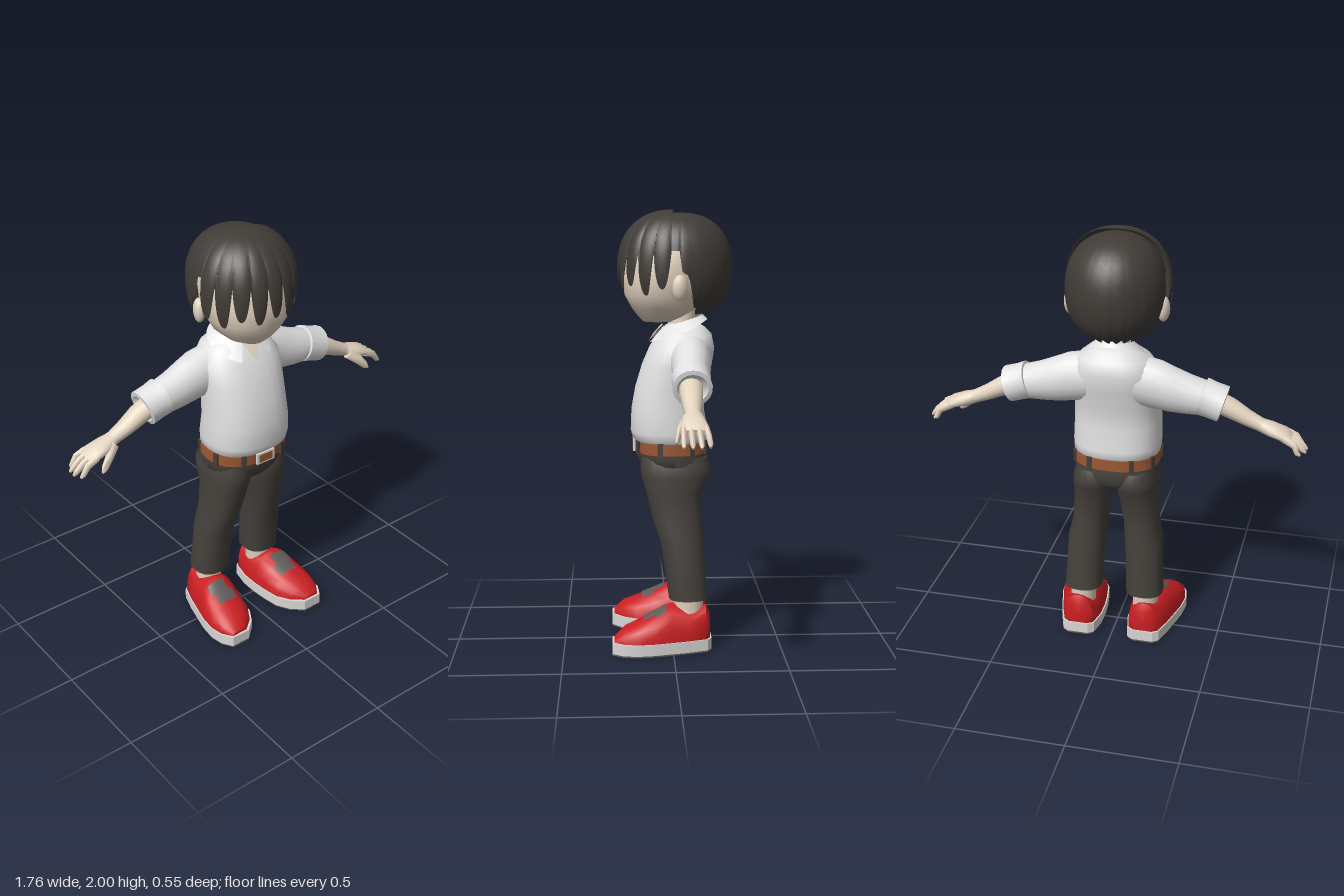
import * as THREE from 'three';
import { toCreasedNormals } from 'three/addons/utils/BufferGeometryUtils.js';

const V = (x, y, z) => new THREE.Vector3(x, y, z);
const mat = (name, color) => new THREE.MeshStandardMaterial({ name, color });
const spow = (v, e) => Math.sign(v) * Math.abs(v) ** e;

// Rounded ring: centre c, half axes u and v, p sets squareness
function ring(c, u, v, n = 20, p = 2) {
  return Array.from({ length: n }, (_, i) => {
    const a = i / n * Math.PI * 2;
    return c.clone().addScaledVector(u, spow(Math.cos(a), 2 / p)).addScaledVector(v, spow(Math.sin(a), 2 / p));
  });
}

// Skin a list of rings; closed lofts are capped at both ends
function loft(rings, closed = true, crease = 0.9) {
  const n = rings[0].length, pos = [], idx = [];
  rings.forEach(r => r.forEach(q => pos.push(q.x, q.y, q.z)));
  const m = closed ? n : n - 1;
  for (let i = 0; i < rings.length - 1; i++) {
    for (let j = 0; j < m; j++) {
      const a = i * n + j, b = i * n + (j + 1) % n;
      idx.push(a, b, a + n, b, b + n, a + n);
    }
  }
  if (closed) {
    [0, rings.length - 1].forEach((k, end) => {
      const c = rings[k].reduce((s, q) => s.add(q), V(0, 0, 0)).divideScalar(n), ci = pos.length / 3;
      pos.push(c.x, c.y, c.z);
      for (let j = 0; j < n; j++) {
        const a = k * n + j, b = k * n + (j + 1) % n;
        if (end) idx.push(ci, a, b); else idx.push(ci, b, a);
      }
    });
  }
  const g = new THREE.BufferGeometry();
  g.setAttribute('position', new THREE.Float32BufferAttribute(pos, 3));
  g.setIndex(idx);
  return toCreasedNormals(g, crease);
}

// Upright loft from rows [y, half width, front z, back z, centre x]
const stack = (rows, n = 24, p = 2.3) => loft(rows.map(([y, rx, zf, zb, cx = 0]) =>
  ring(V(cx, y, (zf + zb) / 2), V(rx, 0, 0), V(0, 0, -(zf - zb) / 2), n, p)));

// Sideways loft from rows [x, y, z, half height, half depth]; lean tilts the rings
const limb = (rows, lean = 0.25, n = 14) => loft(rows.map(([x, y, z, ry, rz]) =>
  ring(V(x, y, z), V(ry * lean, ry, 0), V(0, 0, rz), n)));

// Copy on the other side of x = 0, with face order reversed
function mirrored(geo) {
  const g = geo.index ? geo.toNonIndexed() : geo.clone();
  for (const key of ['position', 'normal']) {
    const a = g.attributes[key], arr = a.array;
    for (let i = 0; i < a.count; i++) arr[i * 3] *= -1;
    for (let i = 0; i < arr.length; i += 9) {
      for (let k = 0; k < 3; k++) [arr[i + 3 + k], arr[i + 6 + k]] = [arr[i + 6 + k], arr[i + 3 + k]];
    }
  }
  return g;
}

// Dome of hair over azimuths a0..a1 (0 = front), its hem set by edge(a)
function hairDome(c, rx, ry, rz, a0, a1, cols, edge, bump) {
  const p = 2.3, rows = 14, rings = [];
  for (let i = rows; i >= 0; i--) {
    const r = [];
    for (let j = 0; j <= cols; j++) {
      const a = a0 + (a1 - a0) * j / cols;
      const t = Math.acos(spow((edge(a) - c.y) / ry, p / 2)) * i / rows;
      const s = spow(Math.sin(t), 2 / p) * (1 + bump(a) * i / rows);
      r.push(V(c.x + rx * s * Math.sin(a), c.y + ry * spow(Math.cos(t), 2 / p), c.z + rz * s * Math.cos(a)));
    }
    rings.push(r);
  }
  return loft(rings, false, 1.0);
}

export function createModel() {
  const root = new THREE.Group();
  root.name = 'boy';
  const skin = mat('skin', 0xe3d3bf), hair = mat('hair', 0x403c37), shirt = mat('shirt', 0xe2e1e1);
  const cloth = mat('trousers', 0x45413c), leather = mat('belt', 0x9c5733), red = mat('shoeRed', 0xcb1f22);
  const rubber = mat('soleWhite', 0xd9d7d5), grey = mat('shoeGrey', 0x5e5c5a);
  hair.side = shirt.side = skin.side = grey.side = THREE.DoubleSide;

  const add = (name, geo, m) => {
    const mesh = new THREE.Mesh(geo, m);
    mesh.name = name;
    root.add(mesh);
    return mesh;
  };
  const pair = (name, geo, m) => {
    add(name + 'Left', geo, m);
    add(name + 'Right', mirrored(geo), m);
  };

  // Head, neck and ears
  add('head', stack([[1.497, .06, .125, -.01], [1.52, .11, .15, -.06], [1.56, .155, .18, -.12],
    [1.62, .187, .213, -.16], [1.69, .2, .215, -.18], [1.8, .2, .2, -.2], [1.88, .16, .15, -.17],
    [1.94, .08, .08, -.1]], 28, 2.1), skin);
  add('neck', stack([[1.4, .08, .02, -.12], [1.48, .065, .015, -.11], [1.58, .065, .02, -.11]], 18, 2), skin);
  pair('ear', new THREE.SphereGeometry(1, 12, 8).scale(.026, .058, .036).rotateY(.3).translate(.212, 1.66, -.03), skin);

  // Hair: back bowl and a fringe of pointed locks
  const D = Math.PI / 180, lock = 19 * D;
  const tooth = (a, w) => Math.abs(2 * (a / w - Math.round(a / w)));
  add('hairBack', hairDome(V(0, 1.745, -.04), .222, .242, .235, 0, 2 * Math.PI, 120, a => {
    const d = Math.abs(a - Math.PI) / D;
    if (d > 92) return 1.82;
    const drop = THREE.MathUtils.smoothstep(d, 66, 92);
    return 1.535 + .2 * drop + .04 * tooth(a - Math.PI, 15 * D) ** 2;
  }, () => 0), hair);
  add('hairFringe', hairDome(V(0, 1.745, -.01), .238, .255, .247, -4.5 * lock, 4.5 * lock, 108, a => {
    const k = Math.round(a / lock);
    const tip = [1.665, 1.645, 1.665, 1.625, 1.655][Math.min(4, Math.abs(k))];
    return tip + (1.81 - tip) * tooth(a, lock) ** 2.6;
  }, a => .045 * (1 - tooth(a, lock) ** 2) - .01), hair);

  // Shirt
  add('shirtBody', stack([[.955, .192, .165, -.16], [.965, .2, .178, -.168], [1.0, .203, .187, -.168],
    [1.1, .2, .183, -.15], [1.2, .195, .165, -.158], [1.3, .2, .135, -.185], [1.38, .2, .1, -.197],
    [1.44, .16, .06, -.185], [1.475, .105, .028, -.15], [1.49, .07, .01, -.12]], 28, 2.4), shirt);
  pair('sleeve', limb([[.1, 1.335, -.075, .115, .1], [.2, 1.322, -.08, .112, .09], [.27, 1.302, -.078, .102, .085],
    [.34, 1.285, -.073, .09, .08], [.42, 1.272, -.07, .078, .075]], .12, 18), shirt);
  pair('cuff', limb([[.395, 1.283, -.07, .068, .072], [.397, 1.282, -.07, .083, .086], [.44, 1.268, -.07, .08, .083],
    [.495, 1.252, -.07, .08, .086], [.498, 1.251, -.07, .062, .068], [.485, 1.254, -.07, .05, .055]], .3, 18), shirt);

  // Folded collar with two front points, and the open neckline
  const collarRow = (start, f) => Array.from({ length: 25 }, (_, i) => f((start + (360 - 2 * start) * i / 24) * D));
  add('collar', loft([
    collarRow(34, a => V(.138 * Math.sin(a), 1.455 - .055 * Math.cos(a), -.05 + (Math.cos(a) > 0 ? .18 : .115) * Math.cos(a))),
    collarRow(20, a => V(.083 * Math.sin(a), 1.502 - .028 * Math.cos(a), -.05 + .092 * Math.cos(a))),
  ], false), shirt);
  add('neckline', loft([[V(-.045, 1.485, .04), V(.045, 1.485, .04)],
    [V(-.025, 1.44, .082), V(.025, 1.44, .082)], [V(0, 1.4, .105), V(.001, 1.4, .105)]], false), skin);

  // Forearms, hands and fingers
  pair('forearm', limb([[.46, 1.262, -.065, .045, .052], [.53, 1.232, -.063, .042, .05],
    [.6, 1.195, -.062, .034, .042], [.66, 1.168, -.062, .029, .034], [.69, 1.157, -.062, .028, .038]], .4), skin);
  pair('palm', limb([[.66, 1.167, -.062, .029, .034], [.71, 1.15, -.06, .031, .05], [.77, 1.132, -.062, .026, .059],
    [.805, 1.115, -.063, .013, .055]], .35), skin);
  [[-.108, -.122, .85], [-.078, -.086, .872], [-.047, -.05, .875], [-.018, -.015, .86]].forEach(([z0, z1, x], i) =>
    pair('finger' + (i + 1), limb([[.77, 1.13, z0, .016, .014], [.82, 1.107, (z0 + z1) / 2, .015, .013],
      [x - .015, 1.074, z1, .012, .011], [x, 1.062, z1, .005, .005]], .6, 8), skin));
  pair('thumb', limb([[.67, 1.155, -.035, .022, .018], [.715, 1.118, -.008, .018, .016],
    [.75, 1.08, .005, .014, .012], [.765, 1.063, .01, .005, .005]], .8, 8), skin);

  // Trousers: hips and two legs
  add('hips', stack([[.775, .05, .06, -.08], [.8, .13, .115, -.14], [.84, .192, .145, -.172], [.89, .197, .16, -.168],
    [.96, .19, .16, -.155]], 28, 2.4), cloth);
  pair('trouserLeg', stack([[.24, .075, .01, -.15, .15], [.238, .089, .017, -.16, .15], [.3, .088, .025, -.155, .147],
    [.5, .088, .055, -.142, .137], [.6, .082, .09, -.135, .122], [.73, .093, .12, -.135, .107],
    [.8, .098, .14, -.172, .102], [.84, .096, .145, -.18, .1], [.89, .08, .14, -.16, .1]], 20, 2.4), cloth);

  // Belt, loops and buckle
  add('belt', stack([[.905, .201, .166, -.166], [.957, .2, .17, -.165]], 32, 2.4), leather);
  for (const deg of [28, 75, 118, 155, 205, 242, 285, 332]) {
    const a = deg * D, e = 2 / 2.4;
    const b = add('beltLoop', new THREE.BoxGeometry(.024, .062, .012), cloth);
    b.position.set(.202 * spow(Math.sin(a), e), .931, .002 + .168 * spow(Math.cos(a), e));
    b.rotation.y = Math.atan2(spow(Math.sin(a), 1.17) / .202, spow(Math.cos(a), 1.17) / .168);
  }
  add('buckleFrame', new THREE.BoxGeometry(.1, .054, .012).translate(0, .931, .171), rubber);
  add('bucklePlate', new THREE.BoxGeometry(.074, .038, .008).translate(0, .931, .175), leather);

  // Ankles
  pair('ankle', stack([[.1, .06, -.01, -.14, .155], [.2, .06, -.01, -.14, .152], [.27, .065, 0, -.145, .15]], 16, 2), skin);

  // Shoes, from rows [z, centre x, half width, top y]
  const last = [[-.17, .16, .045, .17], [-.152, .16, .072, .205], [-.07, .165, .095, .187], [.01, .175, .106, .215],
    [.08, .187, .112, .178], [.16, .198, .11, .142], [.22, .21, .086, .118], [.268, .222, .042, .075]];
  const base = .055;
  const upper = last.map(([z, x, w, h]) => {
    const r = ring(V(x, base, z), V(w, 0, 0), V(0, h - base, 0), 20, 2.3);
    r.forEach(q => { q.y = Math.max(q.y, base - .002); });
    return r;
  });
  pair('shoeUpper', loft(upper, true, 0.8), red);
  const slab = (y0, y1, m) => loft(last.map(([z, x, w]) =>
    [V(x - w - m, y0, z * 1.04), V(x + w + m, y0, z * 1.04), V(x + w + m, y1, z * 1.04), V(x - w - m, y1, z * 1.04)]), true, .5);
  pair('sole', slab(.008, .06, .005), rubber);
  pair('soleBottom', slab(0, .009, .002), grey);

  // Grey patch over the instep, in two offset halves
  const patch = (z0, z1, a0, a1) => loft([0, .5, 1].map(t => {
    const z = z0 + (z1 - z0) * t;
    const i = last.findIndex(r => r[0] >= z), A = last[i - 1], B = last[i];
    const k = (z - A[0]) / (B[0] - A[0]), [, x, w, h] = A.map((v, q) => v + (B[q] - v) * k);
    return Array.from({ length: 9 }, (_, j) => {
      const a = (a0 + (a1 - a0) * j / 8) * D;
      return V(x + (w + .004) * spow(Math.cos(a), 2 / 2.3), base + (h - base + .005) * spow(Math.sin(a), 2 / 2.3), z);
    });
  }), false);
  pair('shoePatchBack', patch(.03, .08, 62, 104), grey);
  pair('shoePatchFront', patch(.08, .135, 72, 116), grey);

  return root;
}
